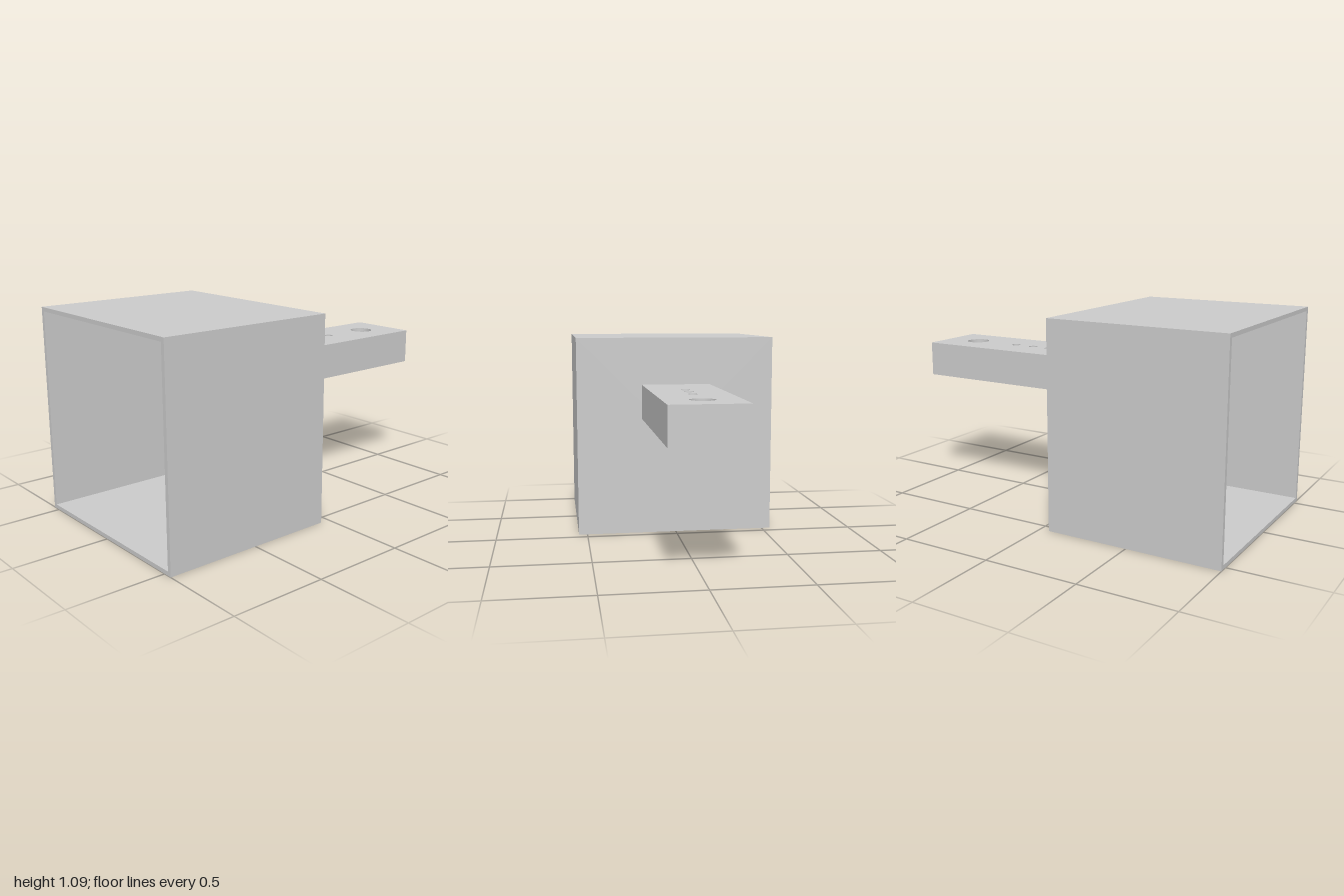
import * as THREE from 'three';
import { toCreasedNormals } from 'three/addons/utils/BufferGeometryUtils.js';

const U = 2 / 95;               // design unit: the model is 95 units long
const BACK_Z = -1 + 50 * U;     // where the handle meets the box

const material = new THREE.MeshStandardMaterial({ color: 0xcccccc });

function part(name, geometry) {
  const mesh = new THREE.Mesh(geometry, material);
  mesh.name = name;
  return mesh;
}

// Open-fronted box: a four-sided lathe of its wall profile, laid along z
function openBox(half, depth, wall, back) {
  const k = Math.SQRT2;
  const profile = [
    [0, 0], [half * k, 0], [half * k, depth],
    [(half - wall) * k, depth], [(half - wall) * k, back], [0, back],
  ].map(([r, y]) => new THREE.Vector2(r, y));
  const geometry = new THREE.LatheGeometry(profile, 4, Math.PI / 4);
  geometry.rotateX(Math.PI / 2);
  return toCreasedNormals(geometry, 0.5);
}

// Flat bar with round holes drilled through its thickness
function drilledBar(halfWidth, zBack, zFront, height, holes) {
  const shape = new THREE.Shape([
    [-halfWidth, -zFront], [halfWidth, -zFront],
    [halfWidth, -zBack], [-halfWidth, -zBack],
  ].map(([x, y]) => new THREE.Vector2(x, y)));
  for (const [z, radius] of holes) {
    shape.holes.push(new THREE.Path().absarc(0, -z, radius, 0, Math.PI * 2, true));
  }
  const geometry = new THREE.ExtrudeGeometry(shape, {
    depth: height, bevelEnabled: false, curveSegments: 32,
  });
  geometry.rotateX(-Math.PI / 2);
  return toCreasedNormals(geometry, 0.5);
}

export function createModel() {
  const group = new THREE.Group();
  group.name = 'openBoxWithHandle';

  // Box, open towards the front
  const box = part('box', openBox(26 * U, 45 * U, U, 2 * U));
  box.position.set(0, 26 * U, BACK_Z);
  group.add(box);

  // Handle with one hanging hole and three small holes
  const holes = [[-0.803, 0.062], [-0.528, 0.025], [-0.41, 0.025], [-0.3, 0.025]];
  const handle = part('handle', drilledBar(9 * U, -1, BACK_Z, 9 * U, holes));
  handle.position.y = 0.647;
  group.add(handle);

  return group;
}
